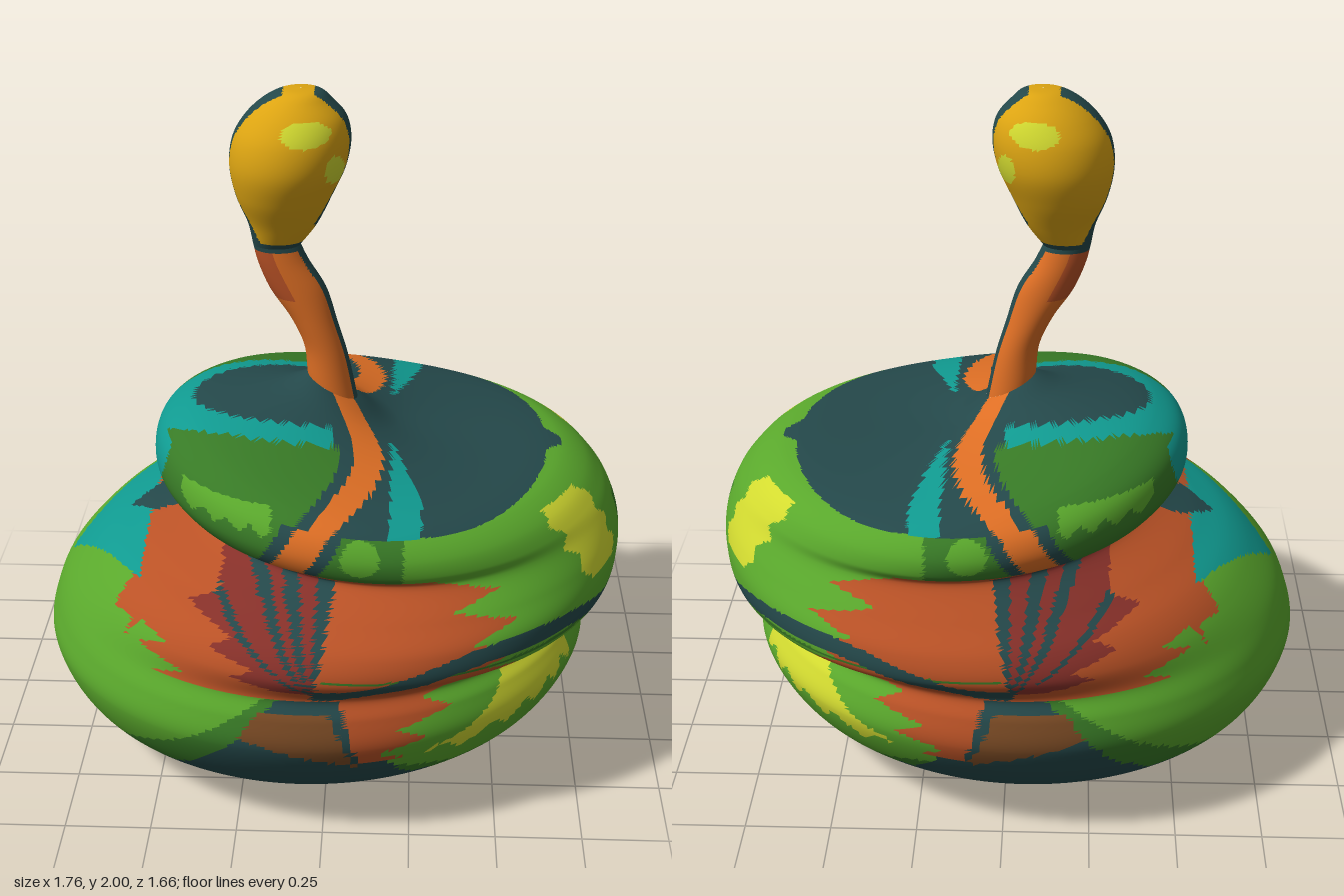
import * as THREE from 'three';

const COLORS = {
  darkTeal: 0x24484a, green: 0x5aa82c, darkGreen: 0x387a26, orange: 0xdd6e24, rust: 0xba5226,
  darkRed: 0x863029, teal: 0x109a90, yellow: 0xd2da30, brown: 0x7a4a24, gold: 0xdca412,
};
const names = Object.keys(COLORS);
const materials = names.map((name) => {
  const m = new THREE.MeshStandardMaterial({ color: COLORS[name] });
  m.name = name;
  return m;
});

// Body cross-sections: left x, left y, right x, right y, half depth, side y
const BODY = [
  [.2, 0, .31, 0, .055, 0], [.1, .05, .43, .08, .2, .05], [-.58, .1, .66, .155, .57, .105],
  [-.79, .145, .71, .18, .71, .14], [-.88, .32, .785, .33, .83, .33], [-.865, .41, .76, .41, .815, .42],
  [-.83, .49, .73, .465, .785, .475], [-.75, .58, .86, .54, .825, .55], [-.68, .635, .88, .62, .8, .62],
  [-.58, .685, .875, .7, .72, .68], [-.42, .76, .84, .79, .63, .755], [-.49, .81, .81, .83, .655, .79],
  [-.535, .88, .77, .87, .66, .84], [-.52, .98, .71, .905, .635, .89], [-.43, 1.045, .65, .92, .58, .925],
  [-.15, 1.1, .2, .965, .15, 1.04], [-.075, 1.13, .075, 1.05, .068, 1.09],
];

// Round cross-sections: centre x, y, half width, half depth, tilt
const tube = (rows) => rows.map(([x, y, rx, rz, t = 0]) => [x - rx, y - t, x + rx, y + t, rz, y]);
const STALK = tube([
  [0, 1.09, .075, .068, -.04], [-.02, 1.205, .065, .063, -.015], [-.055, 1.3, .07, .063, -.01],
  [-.102, 1.4, .083, .062], [-.145, 1.485, .075, .058], [-.163, 1.535, .069, .055],
]);
const BULB = tube([
  [-.163, 1.535, .069, .055], [-.145, 1.6, .1, .09], [-.14, 1.69, .14, .14], [-.128, 1.78, .168, .17],
  [-.116, 1.86, .169, .163], [-.105, 1.92, .145, .135], [-.1, 1.967, .1, .095], [-.09, 1.993, .06, .06],
  [-.09, 2, .002, .002],
]);

// Zigzag 0..1 for jagged edges, and an ellipse test
const zig = (v, period) => Math.abs(2 * (v / period - Math.floor(v / period)) - 1);
const oval = (u, v, cu, cv, ru, rv) => Math.hypot((u - cu) / ru, (v - cv) / rv);
const { smoothstep } = THREE.MathUtils;

// Flat top of the upper coil
function paintTop(x, y, az) {
  if (x > .03 && x < .2 && az < .03) return 'darkTeal';
  const band = x - .115 + 1.3 * (az - .3) ** 2;
  if (Math.abs(band) < .042) return 'orange';
  if (x > .18 && x < Math.min(.27, .17 + .3 * (az - .12))) return 'teal';
  if (x > .25 && x > .72 - az && oval(x, az, .2, 0, .45, .6) > 1) return 'green';
  const arch = oval(x, az, -.12, 0, .42, .29);
  if (x < .01 && arch > .72 && arch < 1) return 'teal';
  return band < -.08 && arch >= 1 ? 'darkGreen' : 'darkTeal';
}

// Wall of the upper coil
function paintCoil(x, y, az) {
  const band = Math.abs(x + .13 - .6 * (y - .75));
  if (band < .05) return 'orange';
  if (band < .09) return 'darkTeal';
  if (y > .84 && x < -.51 + .3 * (y - .84)) return 'teal';
  if (oval(x, y, .1, .85, .055, .05) < 1) return 'green';
  return x < .22 ? 'darkGreen' : 'green';
}

// Rust burst with dark rays spreading from a hub at the waist
function paintBurst(x, y, ring) {
  const dx = x + .03, dy = y - .5;
  if (ring < 6) {
    const jag = .12 + .9 * (y - .28) + .12 * zig(y, .07);
    return y > .28 && x > .04 - .3 * dy && x < jag ? 'rust' : null;
  }
  if (dy > .01 && ring < 10.2) {
    const slope = dx / dy;
    if ([-1.45, -.66, -.27, .15].some((s) => Math.abs(slope - s) < .1)) return 'darkTeal';
    if (slope < .2 && dx > -.08 - 1.1 * dy - .1 * zig(y, .06)) return 'darkRed';
  }
  const leftEnd = -.38 - .9 * Math.max(0, dy) - .12 * zig(y, .06);
  const rightEnd = .6 - .8 * Math.max(0, y - .6) - .16 * zig(y, .07);
  return x > leftEnd && x < rightEnd ? 'rust' : null;
}

// Arrow patch on the shelf at the left end
function paintShelf(x, az) {
  if (az < .1 && x > -.63 + az) return 'darkTeal';
  if (x > -.82 + .65 * az && x < -.55) return 'teal';
  return az < .55 && x > -.56 - .06 * zig(az, .15) ? 'rust' : null;
}

// Lower lobe
function paintLower(x, y, az) {
  if (y > .28 + .3 * (.05 - x) && y < .44 && x < .02 + .45 * (.44 - y) && x > -.23 + .7 * (y - .37)) return 'brown';
  if (x > -.42 + .97 * (y - .17) && x < .05 + .9 * Math.max(0, .5 - y) ** 1.3) return 'darkTeal';
  if (x < 0) return x > -.65 + 1.5 * (y - .15) ? 'darkGreen' : 'green';
  if (az < .26 && y > .08 && y < .17) return 'darkTeal';
  const hem = .17 + .08 * Math.max(0, 1 - az / .15) + .4 * Math.max(0, .4 - x);
  return y < hem || (y > .42 && az < 2.5 * (y - .42)) ? 'darkGreen' : 'green';
}

function paintBody(x, y, z, ring) {
  const az = Math.abs(z);
  if (ring < 3.2) return x > .3 && az > .15 ? 'darkGreen' : 'darkTeal';
  if (ring > 11 && ring < 15 && x > -.42 && x < -.15 && y < .955 && y > .88 + .03 * zig(x, .07)) return 'green';
  if (ring > 13.3) return paintTop(x, y, az);

  // dark seam and bell between the lobes
  if (ring > 6 && ring < 9 && x > -.03) {
    const seam = .5 + .1 * (az < .66 ? smoothstep(az, 0, .6) : smoothstep(x, 0, .5));
    if (Math.abs(y - seam) < .023) return 'darkTeal';
  }
  if (ring > 6 && x > 0 && y > .556 && y < .76 && az < .03 + .006 / (y - .555)) return 'darkGreen';

  // yellow flashes on the right end
  if (x > 0) {
    const upper = Math.abs(az - .31) < .08 + .035 * zig(y, .07) && y > .66 && y < .88;
    const lower = az > .3 && az < .74 && y < .47 - .8 * Math.max(0, az - .53)
      && y > .34 - .2 * (az - .3) + .05 * zig(az, .09);
    if (ring > 6 ? upper : lower) return 'yellow';
  }

  if (ring > 6.2 && ring < 10.2 && x < -.3) {
    const shelf = paintShelf(x, az);
    if (shelf) return shelf;
  }
  const burst = ring < 10.5 && paintBurst(x, y, ring);
  if (burst) return burst;
  if (ring > 10.2) return paintCoil(x, y, az);
  return ring < 6.2 ? paintLower(x, y, az) : 'green';
}

function paintStalk(x, y, z, ring, c) {
  if (ring > 4.75 || (c > 0 && Math.abs(z) < .03)) return 'darkTeal';
  return c < -.2 && ring > 2.8 ? 'rust' : 'orange';
}

function paintBulb(x, y, z, ring) {
  const stripe = .03 + .02 * Math.abs(Math.cos((y - 1.55) * 6.5));
  if (ring < .25 || (Math.abs(z) < stripe && (x > -.05 || x < -.14))) return 'darkTeal';
  const spot = oval(x, y, -.07, 1.9, .07, .035) < 1 || oval(x, y, .01, 1.79, .025, .045) < 1;
  return spot ? 'yellow' : 'gold';
}

// Smooth skin through the cross-sections, with one geometry group per colour
function loft(name, rings, perRing, sides, paint) {
  const curve = (a, b) => new THREE.CatmullRomCurve3(rings.map((r) => new THREE.Vector3(r[a], r[b], 0)));
  const left = curve(0, 1), right = curve(2, 3), side = curve(4, 5);
  const steps = (rings.length - 1) * perRing;
  const pos = [];
  for (let i = 0; i <= steps; i++) {
    const l = left.getPoint(i / steps), r = right.getPoint(i / steps), s = side.getPoint(i / steps);
    for (let j = 0; j < sides; j++) {
      const a = j / sides * Math.PI * 2, c = Math.cos(a), sn = Math.sin(a);
      pos.push((l.x + r.x) / 2 + (r.x - l.x) / 2 * c,
        l.y * (1 - c) / 2 + r.y * (1 + c) / 2 + (s.y - (l.y + r.y) / 2) * sn * sn, s.x * sn);
    }
  }
  const buckets = names.map(() => []);
  const add = (ids, i, j) => {
    const mid = [0, 1, 2].map((k) => (pos[ids[0] * 3 + k] + pos[ids[1] * 3 + k] + pos[ids[2] * 3 + k]) / 3);
    const color = paint(...mid, (i + .5) / perRing, Math.cos((j + .5) / sides * Math.PI * 2));
    buckets[names.indexOf(color)].push(...ids);
  };
  for (let i = 0; i < steps; i++) {
    for (let j = 0; j < sides; j++) {
      const a = i * sides + j, b = i * sides + (j + 1) % sides;
      add([a, a + sides, b], i, j);
      add([a + sides, b + sides, b], i, j);
    }
  }
  const geo = new THREE.BufferGeometry();
  geo.setAttribute('position', new THREE.Float32BufferAttribute(pos, 3));
  geo.setIndex(buckets.flat());
  let start = 0;
  buckets.forEach((b, m) => {
    if (b.length) geo.addGroup(start, b.length, m);
    start += b.length;
  });
  geo.computeVertexNormals();
  const mesh = new THREE.Mesh(geo, materials);
  mesh.name = name;
  return mesh;
}

export function createModel() {
  const group = new THREE.Group();
  group.name = 'coiledBodyWithBulb';
  group.add(loft('coiledBody', BODY, 11, 240, paintBody));
  group.add(loft('stalk', STALK, 8, 64, paintStalk));
  group.add(loft('bulb', BULB, 8, 80, paintBulb));

  // Cap closing the foot
  const cap = new THREE.Mesh(new THREE.CircleGeometry(.055, 32), materials[names.indexOf('orange')]);
  cap.rotation.x = Math.PI / 2;
  cap.position.set(.255, 0, 0);
  cap.name = 'footCap';
  group.add(cap);
  return group;
}
